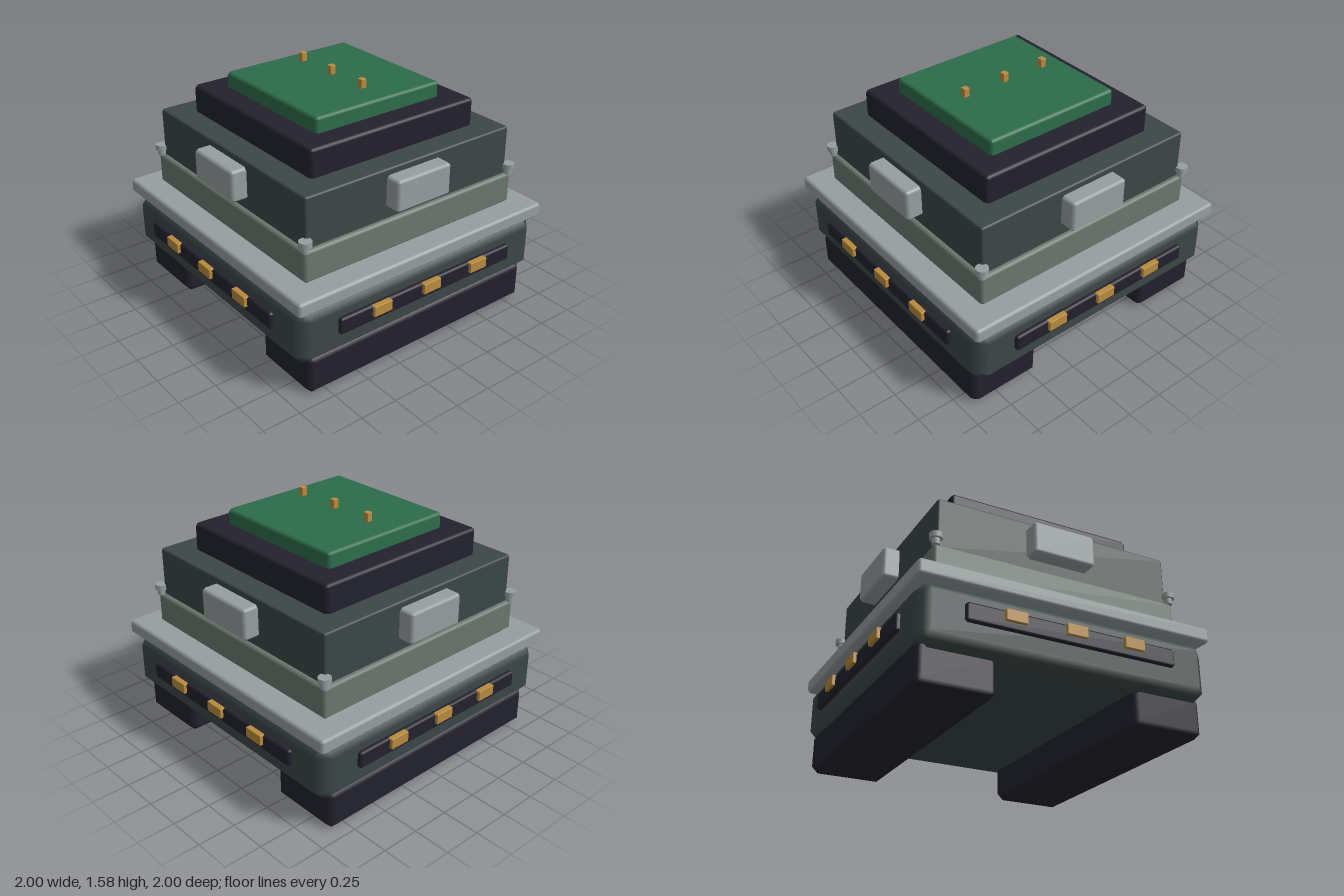
import * as THREE from 'three';

const mat = (name, color) => {
  const m = new THREE.MeshStandardMaterial({ color });
  m.name = name;
  return m;
};

// Box with straight bevels of width r and softly blended normals
function bevelBox(w, h, d, r) {
  const g = new THREE.BoxGeometry(w, h, d, 3, 3, 3);
  const p = g.attributes.position, n = g.attributes.normal;
  const half = [w / 2, h / 2, d / 2];
  for (let i = 0; i < p.count; i++) {
    const v = [p.getX(i), p.getY(i), p.getZ(i)];
    const outer = v.map((c, k) => Math.abs(c) > half[k] * 0.9);
    const count = outer.filter(Boolean).length;
    const inset = [0, 0, r / 2, (r * 2) / 3][count];
    const q = v.map((c, k) => Math.sign(c) * (half[k] - (outer[k] ? inset : r)));
    const dir = new THREE.Vector3(...v.map((c, k) => (outer[k] ? Math.sign(c) : 0))).normalize();
    p.setXYZ(i, ...q);
    n.setXYZ(i, dir.x, dir.y, dir.z);
  }
  return g;
}

export function createModel() {
  const hull = mat('dark slate', 0x3c4746);
  const dark = mat('near black', 0x22212d);
  const sage = mat('grey green', 0x6b766d);
  const steel = mat('light grey', 0x969e9f);
  const green = mat('green', 0x2c6c4a);
  const gold = mat('amber', 0xb88b3e);

  const model = new THREE.Group();
  const add = (parent, name, geometry, material, x, y, z) => {
    const m = new THREE.Mesh(geometry, material);
    m.name = name;
    m.position.set(x, y, z);
    parent.add(m);
    return m;
  };

  // Stacked square tiers: name, half width, bottom, top, bevel, material
  const tiers = [
    ['lowerHull', 0.95, 0.21, 0.61, 0.08, hull],
    ['rim', 0.97, 0.595, 0.695, 0.02, steel],
    ['collar', 0.82, 0.69, 0.9, 0.02, sage],
    ['upperHull', 0.79, 0.88, 1.22, 0.012, hull],
    ['roofBase', 0.63, 1.2, 1.4, 0.02, dark],
    ['roofPanel', 0.477, 1.38, 1.5, 0.02, green],
  ];
  for (const [name, s, y0, y1, r, m] of tiers) {
    add(model, name, bevelBox(2 * s, y1 - y0, 2 * s, r), m, 0, (y0 + y1) / 2, 0);
  }

  // Two long runners underneath
  for (const s of [1, -1]) {
    add(model, s > 0 ? 'leftRunner' : 'rightRunner',
      bevelBox(0.49, 0.27, 1.75, 0.04), dark, s * 0.685, 0.135, 0);
  }

  // Same fittings on all four sides
  ['front', 'left', 'back', 'right'].forEach((side, i) => {
    const g = new THREE.Group();
    g.name = side + 'Fittings';
    g.rotation.y = (i * Math.PI) / 2;
    add(g, 'lampStrip', bevelBox(1.37, 0.115, 0.06, 0.015), dark, 0, 0.432, 0.948);
    for (const x of [-0.387, 0, 0.387]) {
      add(g, 'lamp', bevelBox(0.136, 0.07, 0.05, 0.004), gold, x, 0.453, 0.975);
    }
    add(g, 'sidePlate', bevelBox(0.42, 0.21, 0.14, 0.02), steel, 0, 1.073, 0.825);
    // Corner bolt
    add(g, 'boltStem', new THREE.CylinderGeometry(0.025, 0.025, 0.045, 16), steel, 0.803, 0.915, 0.803);
    add(g, 'boltHead', new THREE.CylinderGeometry(0.04, 0.04, 0.035, 16), steel, 0.803, 0.948, 0.803);
    model.add(g);
  });

  // Roof pins
  for (const x of [-0.3, 0, 0.3]) {
    add(model, 'roofPin', bevelBox(0.04, 0.06, 0.04, 0.003), gold, x, 1.545, 0);
  }
  return model;
}
